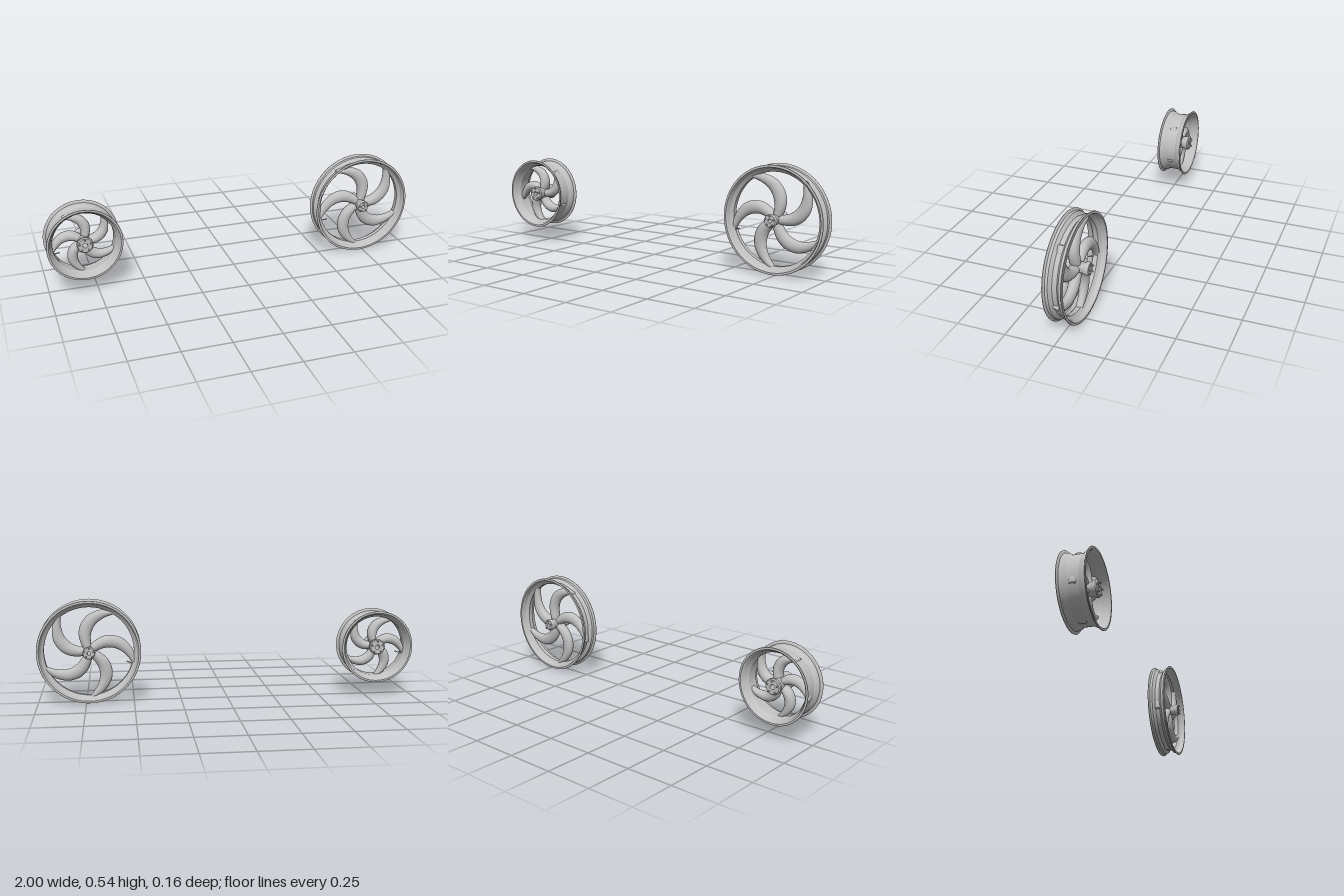
import * as THREE from 'three';
import { toCreasedNormals } from 'three/addons/utils/BufferGeometryUtils.js';

const metal = new THREE.MeshStandardMaterial({ color: 0xc0c0c0 });
metal.name = 'brushed metal';

function part(name, geometry, parent) {
  const mesh = new THREE.Mesh(geometry, metal);
  mesh.name = name;
  parent.add(mesh);
  return mesh;
}

// Closed profile of [radius, z] points spun around the z axis
function spin(points, segments) {
  const profile = [...points, points[0]].map(([r, z]) => new THREE.Vector2(r, z));
  return toCreasedNormals(new THREE.LatheGeometry(profile, segments).rotateX(Math.PI / 2), 0.6);
}

// Outer half profile (from edge to centre) mirrored, then an inner skin
function rimGeometry(outer, inner) {
  const mirror = (half) => [
    ...half.map(([r, z]) => [r, -z]),
    ...half.slice().reverse(),
  ];
  return spin([...mirror(outer), ...mirror(inner).reverse()], 96);
}

// Curved, tapered spoke swept from elliptical cross-sections
function spokeGeometry(R, reach, widthScale, depth) {
  // radius share, sweep angle, width share, depth share
  const keys = [
    [0.09, -4, 0.17, 1], [0.2, -1, 0.2, 1], [0.34, 4, 0.235, 0.97], [0.48, 12, 0.25, 0.9],
    [0.63, 23, 0.235, 0.82], [0.77, 36, 0.18, 0.74], [0.87, 46, 0.115, 0.66], [0.92, 52, 0.06, 0.58],
  ];
  const path = new THREE.CatmullRomCurve3(keys.map(([r, a]) => {
    const t = THREE.MathUtils.degToRad(a), d = r * R * reach;
    return new THREE.Vector3(d * Math.cos(t), d * Math.sin(t), 0);
  }));
  const rings = 28, sides = 20, positions = [], index = [];
  for (let i = 0; i <= rings; i++) {
    const u = i / rings;
    const k = Math.min(u * (keys.length - 1), keys.length - 1.0001);
    const a = keys[Math.floor(k)], b = keys[Math.floor(k) + 1], f = k % 1;
    const w = THREE.MathUtils.lerp(a[2], b[2], f) * R * widthScale / 2;
    const h = THREE.MathUtils.lerp(a[3], b[3], f) * depth / 2;
    const p = path.getPoint(u), t = path.getTangent(u);
    for (let j = 0; j < sides; j++) {
      const q = j / sides * Math.PI * 2, s = w * Math.cos(q);
      positions.push(p.x - t.y * s, p.y + t.x * s, h * Math.sin(q));
      if (i === rings) continue;
      const n = (j + 1) % sides, c = i * sides;
      index.push(c + j, c + n, c + sides + j, c + n, c + sides + n, c + sides + j);
    }
  }
  // Close the tip
  for (let j = 1; j < sides - 1; j++) {
    const c = rings * sides;
    index.push(c, c + j, c + j + 1);
  }
  const geometry = new THREE.BufferGeometry();
  geometry.setAttribute('position', new THREE.Float32BufferAttribute(positions, 3));
  geometry.setIndex(index);
  geometry.computeVertexNormals();
  return geometry;
}

function buildWheel(name, o) {
  const wheel = new THREE.Group();
  wheel.name = name;
  part('rim', rimGeometry(o.outer, o.inner), wheel);

  // Five swept spokes
  const spoke = spokeGeometry(o.R, o.reach, o.widthScale, o.depth);
  for (let i = 0; i < 5; i++) {
    part('spoke', spoke, wheel).rotation.z = (i * 72 + 1) * Math.PI / 180;
  }

  // Hub with flared collars and an axle bore
  const { hubR: h, hubZ: z } = o;
  part('hub', spin([
    [h * 0.3, -z], [h * 0.88, -z], [h, -z + 0.006], [h, -z + 0.016], [h * 0.82, -z + 0.028],
    [h * 0.82, z - 0.028], [h, z - 0.016], [h, z - 0.006], [h * 0.88, z], [h * 0.3, z],
  ], 40), wheel);

  // Bolts on both hub faces
  const bolt = new THREE.CylinderGeometry(0.0045, 0.0045, 0.012, 8).rotateX(Math.PI / 2);
  for (const side of [-1, 1]) {
    for (let i = 0; i < 5; i++) {
      const a = (i * 72 + 18) * Math.PI / 180;
      part('hubBolt', toCreasedNormals(bolt, 0.5), wheel)
        .position.set(Math.cos(a) * h * 0.72, Math.sin(a) * h * 0.72, side * (z + 0.003));
    }
  }

  // Valve stem pointing in from the rim
  const valve = part('valveStem', new THREE.CylinderGeometry(0.003, 0.003, 0.04, 10), wheel);
  const a = 198 * Math.PI / 180, r = o.inner[o.inner.length - 1][0] - 0.01;
  valve.position.set(Math.cos(a) * r, Math.sin(a) * r, 0.016);
  valve.quaternion.setFromUnitVectors(new THREE.Vector3(0, 1, 0),
    new THREE.Vector3(-Math.cos(a), -Math.sin(a), 0.4).normalize());
  return wheel;
}

export function createModel() {
  const model = new THREE.Group();
  model.name = 'wheelPair';

  const large = buildWheel('largeWheel', {
    R: 0.27, reach: 0.985, widthScale: 1, depth: 0.056, hubR: 0.033, hubZ: 0.07,
    outer: [[0.264, 0.05], [0.269, 0.049], [0.27, 0.046], [0.267, 0.043], [0.259, 0.039],
      [0.257, 0.026], [0.24, 0.012]],
    inner: [[0.258, 0.05], [0.252, 0.038], [0.249, 0.026], [0.233, 0.012]],
  });
  large.position.set(0.73, 0.27, -0.001);

  const small = buildWheel('smallWheel', {
    R: 0.194, reach: 0.94, widthScale: 1.12, depth: 0.062, hubR: 0.042, hubZ: 0.07,
    outer: [[0.189, 0.07], [0.193, 0.0695], [0.194, 0.067], [0.191, 0.064], [0.18, 0.061],
      [0.178, 0.046], [0.167, 0.03]],
    inner: [[0.183, 0.07], [0.174, 0.06], [0.171, 0.046], [0.16, 0.03]],
  });
  small.position.set(-0.806, 0.268, -0.001);

  model.add(large, small);
  return model;
}
